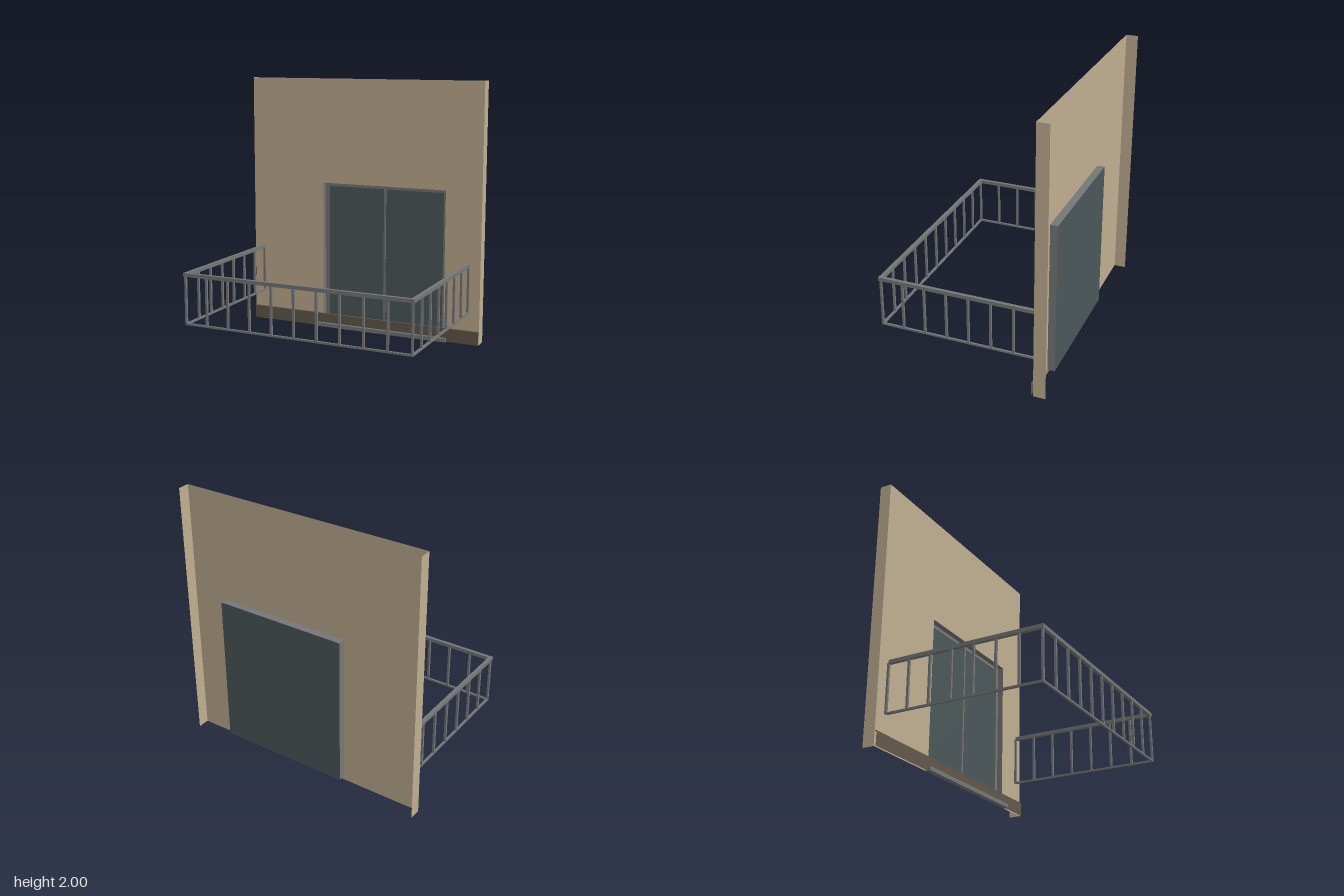
import * as THREE from 'three';

const mat = (color) => new THREE.MeshStandardMaterial({ color, side: THREE.DoubleSide, flatShading: true });

export function createModel() {
  const model = new THREE.Group();
  const wallMat = mat(0xbfad91), baseMat = mat(0x62574a), metal = mat(0x757677), glassMat = mat(0x4b5759);

  const add = (name, geometry, material, x, y, z, parent = model) => {
    const mesh = new THREE.Mesh(geometry, material);
    mesh.name = name;
    mesh.position.set(x, y, z);
    parent.add(mesh);
    return mesh;
  };
  // box given by its minimum and maximum corners
  const box = (name, a, b, material, parent) => add(name,
    new THREE.BoxGeometry(b[0] - a[0], b[1] - a[1], b[2] - a[2]), material,
    (a[0] + b[0]) / 2, (a[1] + b[1]) / 2, (a[2] + b[2]) / 2, parent);
  const rect = (Type, x0, y0, x1, y1) => {
    const s = new Type();
    s.moveTo(x0, y0).lineTo(x1, y0).lineTo(x1, y1).lineTo(x0, y1).closePath();
    return s;
  };

  const W = 0.97, wallZ = -0.55;
  const door = { x0: -0.345, x1: 0.685, y0: 0.03, y1: 1.175, z: -0.605 };
  const midX = (door.x0 + door.x1) / 2, midY = (door.y0 + door.y1) / 2;
  const doorW = door.x1 - door.x0, doorH = door.y1 - door.y0;

  // wall sheet with door opening, and a thin return at each end
  const wallShape = rect(THREE.Shape, -W, 0, W, 2);
  wallShape.holes.push(rect(THREE.Path, door.x0, door.y0, door.x1, door.y1));
  add('wall', new THREE.ShapeGeometry(wallShape), wallMat, 0, 0, wallZ);
  for (const s of [-1, 1]) {
    add('wallReturn', new THREE.PlaneGeometry(0.09, 2), wallMat, s * W, 1, wallZ - 0.045).rotation.y = s * Math.PI / 2;
  }

  // baseboard: front and top strips, open at the ends
  add('baseboardFront', new THREE.PlaneGeometry(2 * W, 0.105), baseMat, 0, 0.0525, -0.535);
  add('baseboardTop', new THREE.PlaneGeometry(2 * W, 0.015), baseMat, 0, 0.105, -0.5425).rotation.x = -Math.PI / 2;
  box('doorSill', [-0.375, 0, -0.55], [0.715, 0.03, -0.51], metal);

  // recessed sliding door
  const doorGroup = new THREE.Group();
  doorGroup.name = 'door';
  model.add(doorGroup);
  const depth = wallZ - door.z, midZ = (wallZ + door.z) / 2;
  for (const [x, s] of [[door.x0, 1], [door.x1, -1]]) {
    add('jamb', new THREE.PlaneGeometry(depth, doorH), metal, x, midY, midZ, doorGroup).rotation.y = s * Math.PI / 2;
  }
  for (const [y, s] of [[door.y0, -1], [door.y1, 1]]) {
    add('lining', new THREE.PlaneGeometry(doorW, depth), metal, midX, y, midZ, doorGroup).rotation.x = s * Math.PI / 2;
  }
  const frame = rect(THREE.Shape, door.x0, door.y0, door.x1, door.y1);
  frame.holes.push(rect(THREE.Path, door.x0 + 0.03, door.y0 + 0.03, door.x1 - 0.03, door.y1 - 0.028));
  add('doorFrame', new THREE.ExtrudeGeometry(frame, { depth: 0.008, bevelEnabled: false }), metal, 0, 0, door.z + 0.002, doorGroup);
  box('mullion', [midX - 0.008, door.y0 + 0.03, door.z + 0.002], [midX + 0.008, door.y1 - 0.028, door.z + 0.01], metal, doorGroup);
  add('glass', new THREE.PlaneGeometry(doorW, doorH), glassMat, midX, midY, door.z, doorGroup);

  // railing around three sides
  const railing = new THREE.Group();
  railing.name = 'railing';
  model.add(railing);
  const X = 0.88, Z = 0.632, backZ = -0.53;
  const post = (x, z) => box('post', [x - 0.008, 0.245, z - 0.008], [x + 0.008, 0.61, z + 0.008], metal, railing);
  for (const [name, y0, y1, h] of [['topRail', 0.603, 0.63, 0.013], ['bottomRail', 0.24, 0.254, 0.008]]) {
    box(name, [-X + h, y0, Z - h], [X - h, y1, Z + h], metal, railing);
    for (const s of [-X, X]) box(name, [s - h, y0, backZ], [s + h, y1, Z + h], metal, railing);
  }
  for (let i = 0; i <= 10; i++) post(-X + i * X / 5, Z);
  for (let i = 1; i <= 7; i++) for (const s of [-X, X]) post(s, Z - i * 0.167);

  return model;
}
